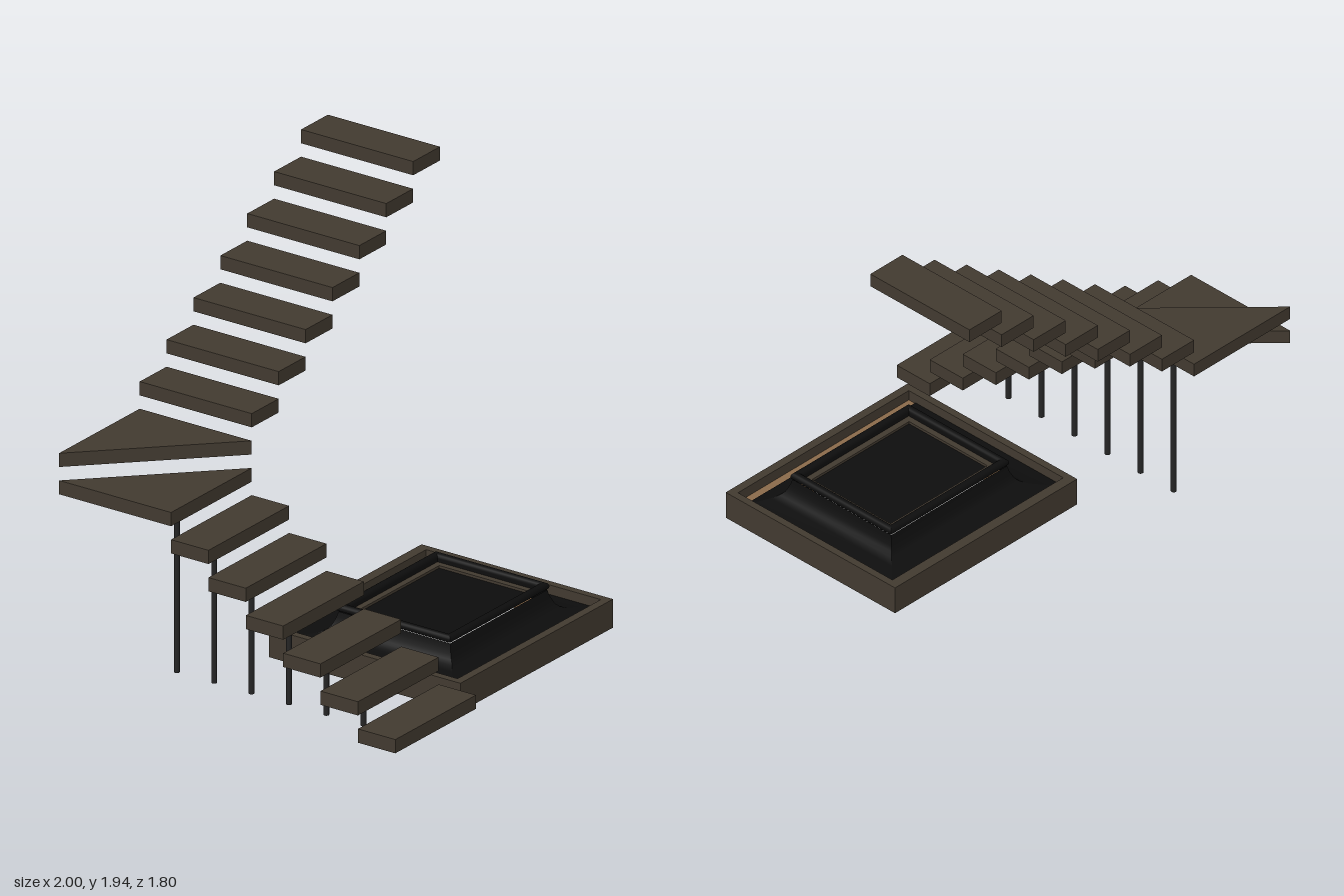
import * as THREE from 'three';

const mat = (color, side = THREE.FrontSide) => new THREE.MeshStandardMaterial({ color, side });
const wood = mat(0x423a30);
const steel = mat(0x242424);
const black = mat(0x0d0d0d, THREE.DoubleSide);
const tan = mat(0x8a6a4a, THREE.DoubleSide);
const grey = mat(0xcccccc, THREE.DoubleSide);

const RISE = 0.1286, THICK = 0.065, BASE = 0.07;

function add(parent, name, geometry, material, x = 0, y = 0, z = 0) {
  const mesh = new THREE.Mesh(geometry, material);
  mesh.name = name;
  mesh.position.set(x, y, z);
  parent.add(mesh);
  return mesh;
}

// Horizontal outline given as [x, z] points, extruded upwards
const toVec = ([x, z]) => new THREE.Vector2(x, -z);
const rect = (x0, x1, z0, z1) => [[x0, z0], [x0, z1], [x1, z1], [x1, z0]];
function slab(points, height, hole) {
  const shape = new THREE.Shape(points.map(toVec));
  if (hole) shape.holes.push(new THREE.Path(hole.map(toVec)));
  const geometry = height
    ? new THREE.ExtrudeGeometry(shape, { depth: height, bevelEnabled: false })
    : new THREE.ShapeGeometry(shape);
  return geometry.rotateX(-Math.PI / 2);
}

// Four mitred sides through rectangles [halfX, halfZ, y, centreZ]
function mitredLoft(levels) {
  const pos = [], index = [];
  const corners = [[-1, 1], [1, 1], [1, -1], [-1, -1]];
  for (let s = 0; s < 4; s++) {
    const start = pos.length / 3;
    levels.forEach(([hx, hz, y, cz = 0], i) => {
      for (const [sx, sz] of [corners[s], corners[(s + 1) % 4]]) pos.push(sx * hx, y, cz + sz * hz);
      if (i === 0) return;
      const a = start + 2 * (i - 1);
      index.push(a, a + 1, a + 3, a, a + 3, a + 2);
    });
  }
  const geometry = new THREE.BufferGeometry();
  geometry.setAttribute('position', new THREE.Float32BufferAttribute(pos, 3));
  geometry.setIndex(index);
  geometry.computeVertexNormals();
  return geometry;
}

function createStairs() {
  const stairs = new THREE.Group();
  stairs.name = 'staircase';
  const level = (i) => BASE + RISE * i;

  // Lower flight, climbing towards the back
  for (let i = 0; i < 6; i++) {
    add(stairs, 'lowerStep', new THREE.BoxGeometry(0.6, THICK, 0.2), wood,
      -0.7, level(i) + THICK / 2, 0.8 - 0.2 * i);
  }

  // Two triangular winders turning the corner
  add(stairs, 'lowerWinder', slab([[-1, -0.9], [-1, -0.3], [-0.4, -0.3]], THICK), wood, 0, level(6));
  add(stairs, 'upperWinder', slab([[-1, -0.9], [-0.4, -0.3], [-0.4, -0.9]], THICK), wood, 0, level(7));

  // Upper flight, climbing sideways
  for (let i = 0; i < 7; i++) {
    add(stairs, 'upperStep', new THREE.BoxGeometry(0.2, THICK, 0.6), wood,
      -0.3 + 0.2 * i, level(8 + i) + THICK / 2, -0.6);
  }

  // Posts under the lower flight and first winder
  for (let i = 0; i < 7; i++) {
    const h = level(i);
    add(stairs, 'post', new THREE.CylinderGeometry(0.013, 0.013, h, 16), steel,
      -0.7, h / 2, 0.715 - 0.2 * i);
  }
  return stairs;
}

function createPlanter() {
  const planter = new THREE.Group();
  planter.name = 'tray';
  const cx = 0.2325, cz = 0.2675;

  // Open wooden surround and its inner board
  add(planter, 'surround',
    slab(rect(-0.335, 0.8, -0.255, 0.77), 0.135, rect(-0.3, 0.765, -0.205, 0.73)), wood);
  add(planter, 'board',
    slab(rect(-0.3, 0.765, -0.205, 0.73), 0, rect(cx - 0.333, cx + 0.333, cz - 0.268, cz + 0.268)),
    tan, 0, 0.085);
  add(planter, 'underPanel', slab(rect(cx - 0.333, cx + 0.333, cz - 0.268, cz + 0.268), 0), grey, 0, 0.085);

  // Flared skirt rising to a neck
  add(planter, 'flaredSkirt', mitredLoft([
    [0.533, 0.4475, 0.09, 0.2425], [0.43, 0.365, 0.105, 0.262], [0.4, 0.338, 0.118, cz],
    [0.384, 0.322, 0.135, cz], [0.375, 0.313, 0.155, cz], [0.367, 0.305, 0.175, cz], [0.361, 0.299, 0.2, cz],
  ]), black, cx);

  // Rounded lip around the top
  const lip = [];
  for (let i = 0; i <= 10; i++) {
    const a = -0.6 + (Math.PI + 0.6) * i / 10;
    lip.push([0.35 + 0.019 * Math.cos(a), 0.286 + 0.019 * Math.cos(a), 0.216 + 0.019 * Math.sin(a), cz]);
  }
  lip.push([0.331, 0.267, 0.19, cz]);
  add(planter, 'roundedLip', mitredLoft(lip), black, cx);

  // Wooden inlay and dark panel sunk inside the lip
  add(planter, 'inlay', slab(rect(cx - 0.333, cx + 0.333, cz - 0.268, cz + 0.268), 0.012,
    rect(cx - 0.302, cx + 0.302, cz - 0.237, cz + 0.237)), wood, 0, 0.188);
  add(planter, 'innerPanel', slab(rect(cx - 0.333, cx + 0.333, cz - 0.268, cz + 0.268), 0), black, 0, 0.187);
  return planter;
}

export function createModel() {
  const model = new THREE.Group();
  model.name = 'staircaseWithTray';
  model.add(createStairs(), createPlanter());
  return model;
}
